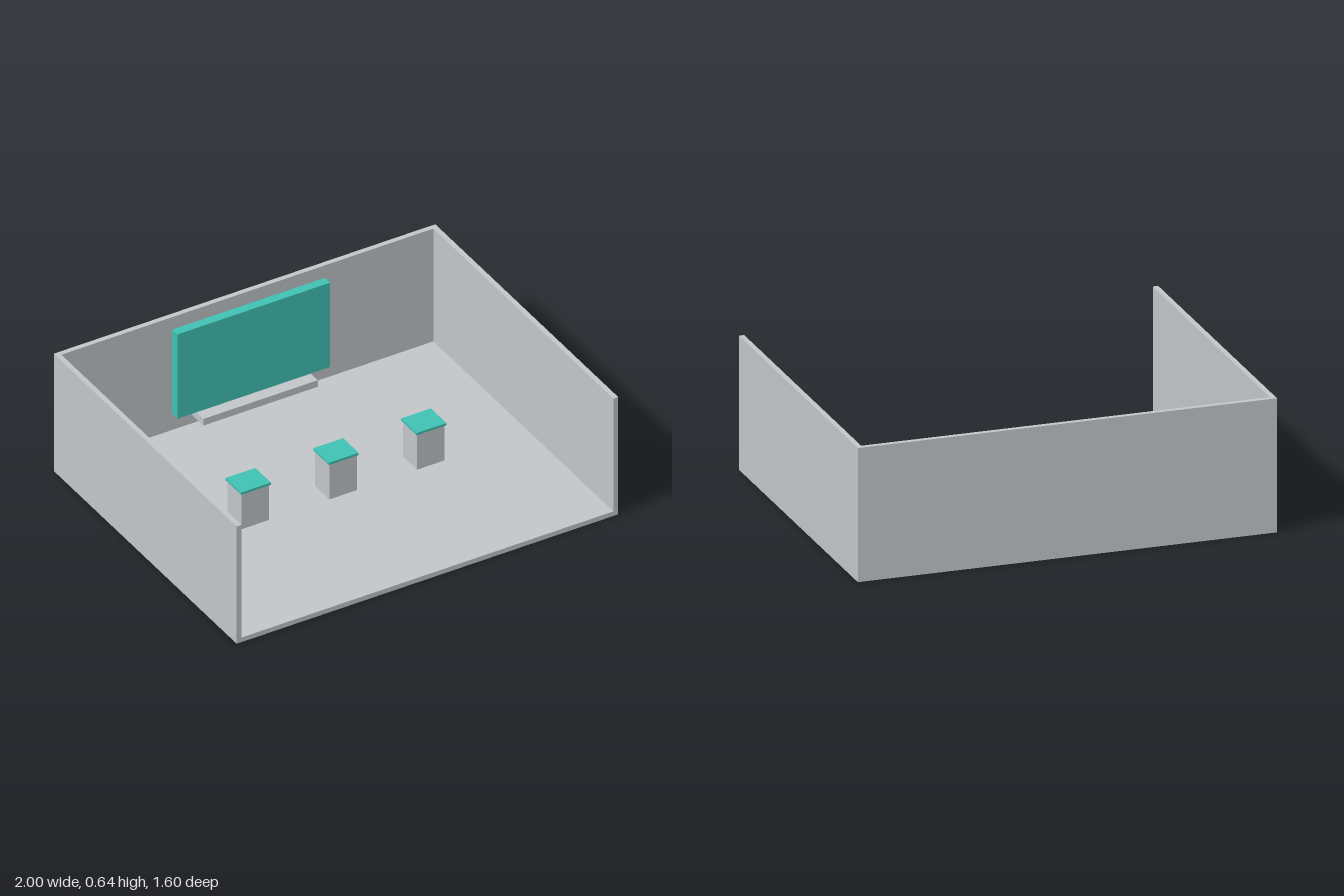
import * as THREE from 'three';

export function createModel() {
  const group = new THREE.Group();
  const grey = new THREE.MeshStandardMaterial({ name: 'light grey', color: 0xc2c6c9 });
  const teal = new THREE.MeshStandardMaterial({ name: 'teal', color: 0x40c2b4 });

  // Box given by its lower and upper limits on each axis
  function box(name, material, [x0, x1], [y0, y1], [z0, z1], parent = group) {
    const mesh = new THREE.Mesh(new THREE.BoxGeometry(x1 - x0, y1 - y0, z1 - z0), material);
    mesh.position.set((x0 + x1) / 2, (y0 + y1) / 2, (z0 + z1) / 2);
    mesh.name = name;
    parent.add(mesh);
  }

  // Room shell: floor and three walls, open at the front and top
  const t = 0.025;
  box('floor', grey, [-1, 1], [0, t], [-0.8, 0.8]);
  const outline = new THREE.Shape([
    [-1, -0.8], [-1 + t, -0.8], [-1 + t, 0.8 - t], [1 - t, 0.8 - t],
    [1 - t, -0.8], [1, -0.8], [1, 0.8], [-1, 0.8],
  ].map(([x, y]) => new THREE.Vector2(x, y)));
  const wallGeometry = new THREE.ExtrudeGeometry(outline, { depth: 0.64 - t, bevelEnabled: false });
  wallGeometry.rotateX(-Math.PI / 2);
  const walls = new THREE.Mesh(wallGeometry, grey);
  walls.name = 'walls';
  walls.position.y = t;
  group.add(walls);

  // Wall screen and the shelf below it
  box('screen', teal, [-0.4, 0.4], [0.12, 0.58], [-0.765, -0.72]);
  box('shelf', grey, [-0.3, 0.3], [0.083, 0.119], [-0.78, -0.66]);

  // Row of display pedestals
  for (const x of [-0.46, 0, 0.46]) {
    const pedestal = new THREE.Group();
    pedestal.name = 'pedestal';
    pedestal.position.x = x;
    box('column', grey, [-0.072, 0.072], [t, 0.218], [-0.062, 0.062], pedestal);
    box('cap', teal, [-0.078, 0.078], [0.218, 0.23], [-0.068, 0.068], pedestal);
    group.add(pedestal);
  }

  return group;
}
